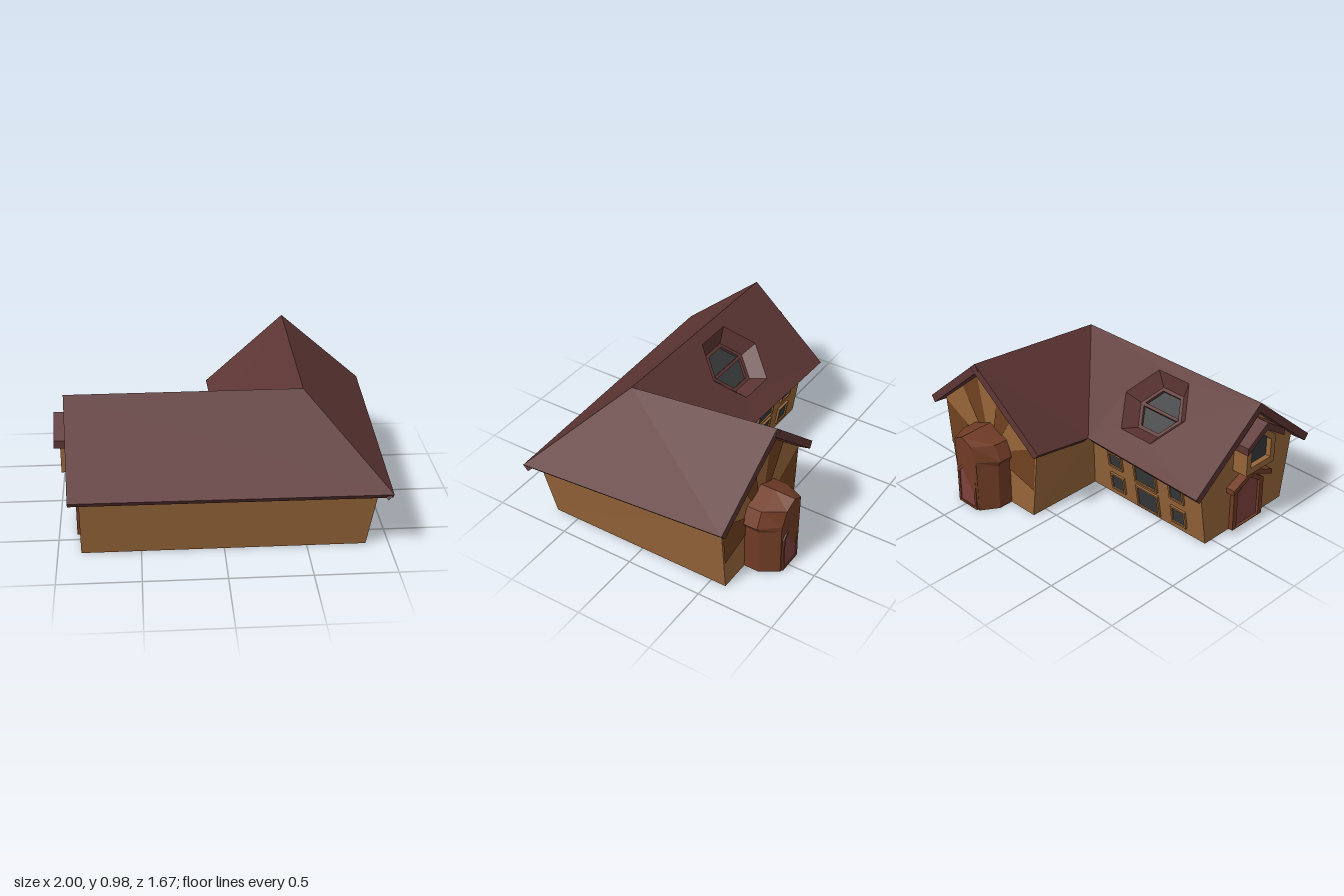
import * as THREE from 'three';

const mat = (color) => new THREE.MeshStandardMaterial({ color, flatShading: true, side: THREE.DoubleSide });
const M = {
  roof: mat(0x5c3533), wall: mat(0x966539), brick: mat(0x713c26),
  patch: mat(0x70411f), door: mat(0x7c403e), glass: mat(0x35383a),
};
const V = (x, y, z) => new THREE.Vector3(x, y, z);

function add(parent, name, geometry, material) {
  const mesh = new THREE.Mesh(geometry, material);
  mesh.name = name;
  parent.add(mesh);
  return mesh;
}

// Geometry from a list of triangle corners
function fromTriangles(points) {
  const g = new THREE.BufferGeometry().setFromPoints(points);
  g.computeVertexNormals();
  return g;
}

// Flat convex faces, each a list of corners
function faces(list) {
  const t = [];
  for (const p of list) for (let i = 1; i < p.length - 1; i++) t.push(p[0], p[i], p[i + 1]);
  return fromTriangles(t);
}

// Quads between two closed loops
const band = (a, b) => a.map((p, i) => {
  const j = (i + 1) % a.length;
  return [p, a[j], b[j], b[i]];
});

// Roof panel of even thickness, with an optional opening
function slab(outline, thickness, hole = []) {
  const n = new THREE.Vector3().crossVectors(
    outline[2].clone().sub(outline[0]), outline[3].clone().sub(outline[1])).normalize();
  if (n.y < 0) n.negate();
  const lower = (loop) => loop.map((p) => p.clone().addScaledVector(n, -thickness));
  const flat = (loop) => loop.map((p) => new THREE.Vector2(p.x, p.z));
  const top = [...outline, ...hole], bottom = lower(top), list = [];
  for (const tri of THREE.ShapeUtils.triangulateShape(flat(outline), hole.length ? [flat(hole)] : [])) {
    let [a, b, c] = tri;
    const up = new THREE.Vector3().crossVectors(top[b].clone().sub(top[a]), top[c].clone().sub(top[a])).y > 0;
    if (!up) [b, c] = [c, b];
    list.push([top[a], top[b], top[c]], [bottom[a], bottom[c], bottom[b]]);
  }
  list.push(...band(outline, lower(outline)));
  if (hole.length) list.push(...band(hole, lower(hole)));
  return faces(list);
}

// House-shaped outline, extruded along z, with an optional opening
const house = (w, y0, eave, peak) =>
  [[-w, y0], [w, y0], [w, eave], [0, peak], [-w, eave]].map((p) => new THREE.Vector2(...p));
const rect = (x0, x1, y0, y1) =>
  [[x0, y0], [x1, y0], [x1, y1], [x0, y1]].map((p) => new THREE.Vector2(...p));
function plate(outline, depth, hole) {
  const s = new THREE.Shape(outline);
  if (hole) s.holes.push(new THREE.Path(hole));
  return new THREE.ExtrudeGeometry(s, { depth, bevelEnabled: false });
}
const chevron = (w, eave, peak, t, depth) => plate([
  [-w, eave], [0, peak - t], [w, eave], [w, eave + t], [0, peak], [-w, eave + t],
].map((p) => new THREE.Vector2(...p)), depth);

function buildWalls(g) {
  // Floor corners and the flared tops of the L-shaped walls
  const low = [[-.86, .66], [.86, .66], [.86, -.6], [.1, -.6], [.1, -.06], [-.86, -.06]].map(([x, z]) => V(x, 0, z));
  const high = [V(-.86, .45, .73), V(.915, .4, .725), V(.92, .53, -.605),
    V(.04, .53, -.605), V(.04, .42, -.13), V(-.86, .45, -.13)];
  const sides = band(low, high);
  sides[2].splice(3, 0); // rear gable gets its peak below
  sides[2] = [low[2], low[3], high[3], V(.48, .91, -.605), high[2]];
  sides[5] = [low[5], low[0], high[0], V(-.86, .82, .3), high[5]];
  add(g, 'walls', faces(sides), M.wall);
  add(g, 'floor', faces([[low[0], low[4], low[1]], [low[1], low[4], low[3], low[2]], [low[0], low[5], low[4]]]), M.wall);

  // Darker sectors fanning out over the rear gable
  const fan = [];
  for (const s of [1, -1]) {
    const p = (dx, y) => V(.48 + s * dx, y, -.609);
    fan.push([p(0, .3), p(.4, .2), p(.43, .52)], [p(0, .3), p(.25, .69), p(.1, .82)]);
  }
  add(g, 'gablePatches', faces(fan), M.patch);
}

function buildRoof(g) {
  const hip = V(.5, .88, .3), ridgeLeft = V(-.94, .88, .3), ridgeBack = V(.48, .975, -.7);
  const corner = V(.99, .4, .79), valley = V(0, .445, -.215);
  // Six-sided skylight opening in the rear slope
  const n = V(0, .762, -.648);
  const hex = (scale, depth) => [[-.25, 0], [-.125, -.168], [.125, -.168], [.25, 0], [.125, .168], [-.125, .168]]
    .map(([x, z]) => V(-.3 + x * scale, .88 - .85 * (.23 - z * scale), .07 + z * scale).addScaledVector(n, -depth));
  const outer = hex(1, 0);
  add(g, 'frontRoof', slab([ridgeLeft, hip, corner, V(-.92, .43, .83)], .05), M.roof);
  add(g, 'leftWingRoof', slab([hip, ridgeBack, V(1, .53, -.66), corner], .05), M.roof);
  add(g, 'rightWingRoof', slab([hip, ridgeBack, V(-.03, .53, -.66), valley], .05), M.roof);
  add(g, 'rearRoof', slab([ridgeLeft, hip, valley, V(-.92, .43, -.23)], .05, outer), M.roof);

  const rim = hex(.68, .085), inner = hex(.58, .085), pane = hex(.58, .105);
  add(g, 'skylightRecess', faces([...band(outer, rim), ...band(rim, inner), ...band(inner, pane)]), M.roof);
  add(g, 'skylightGlass', faces([pane]), M.glass);
  const bar = add(g, 'skylightBar', new THREE.BoxGeometry(.29, .025, .02), M.roof);
  bar.position.copy(pane[0]).add(pane[3]).multiplyScalar(.5).addScaledVector(n, .012);
  bar.rotation.x = -.705;
}

function buildRearPorch(g) {
  const porch = new THREE.Group();
  porch.name = 'rearPorch';
  porch.position.set(.48, 0, -.6);
  porch.rotation.y = Math.PI;
  // Arched cross-sections from the wall to the narrow front
  const section = (half, z, lean) => {
    const right = half.map(([x, y]) => V(x, y, z + lean * Math.max(0, y - .32)));
    const left = half.slice(0, -1).reverse().map(([x, y]) => V(-x, y, z + lean * Math.max(0, y - .32)));
    return [...right, ...left];
  };
  const wide = [[.17, 0], [.175, .32], [.2, .36], [.15, .46], [0, .52]];
  const narrow = [[.1, 0], [.1, .32], [.1, .36], [.08, .47], [0, .515]];
  const rings = [section(wide, 0, 0), section(wide, .1, 0), section(narrow, .21, .13)];
  add(porch, 'porchShell', faces([...band(rings[0], rings[1]), ...band(rings[1], rings[2]), rings[2]]), M.brick);
  add(porch, 'porchDoorFrame', plate(house(.085, 0, .24, .33), .012, house(.068, .015, .23, .305)), M.brick).position.z = .208;
  add(porch, 'porchDoor', plate(house(.07, .01, .23, .31), .008), M.door).position.z = .206;
  g.add(porch);
}

function buildEntrance(g) {
  // Doorway and bay window on the right-hand gable end
  const end = new THREE.Group();
  end.name = 'entrance';
  end.position.set(-.86, 0, .3);
  end.rotation.y = -Math.PI / 2;
  add(end, 'doorFrame', plate(house(.14, 0, .27, .37), .03, house(.105, .005, .26, .335)), M.brick);
  add(end, 'door', plate(house(.11, 0, .26, .34), .012), M.door);
  add(end, 'doorCanopy', chevron(.18, .29, .405, .035, .06), M.brick);
  add(end, 'bayFrame', plate(house(.13, .43, .62, .72), .105, house(.09, .475, .6, .675)), M.wall);
  add(end, 'bayGlass', plate(house(.095, .47, .6, .68), .07), M.glass);
  add(end, 'bayCanopy', chevron(.17, .61, .77, .05, .14), M.roof);
  g.add(end);
}

function buildWindows(g) {
  // Two rows of three windows on the flared rear wall
  const row = new THREE.Group();
  row.name = 'rearWindows';
  row.position.z = -.06;
  row.rotation.set(-.162, Math.PI, 0);
  for (const [x, w, lowY, highY] of [[.14, .06, [.05, .18], [.24, .36]], [.4, .095, [.02, .19], [.22, .38]], [.66, .06, [.05, .18], [.24, .36]]]) {
    for (const [y0, y1] of [lowY, highY]) {
      add(row, 'windowFrame', plate(rect(x - w, x + w, y0, y1), .014, rect(x - w + .013, x + w - .013, y0 + .013, y1 - .013)), M.wall);
      add(row, 'windowGlass', plate(rect(x - w + .01, x + w - .01, y0 + .01, y1 - .01), .005), M.glass);
    }
  }
  g.add(row);
}

export function createModel() {
  const g = new THREE.Group();
  g.name = 'house';
  buildWalls(g);
  buildRoof(g);
  buildRearPorch(g);
  buildEntrance(g);
  buildWindows(g);
  return g;
}
